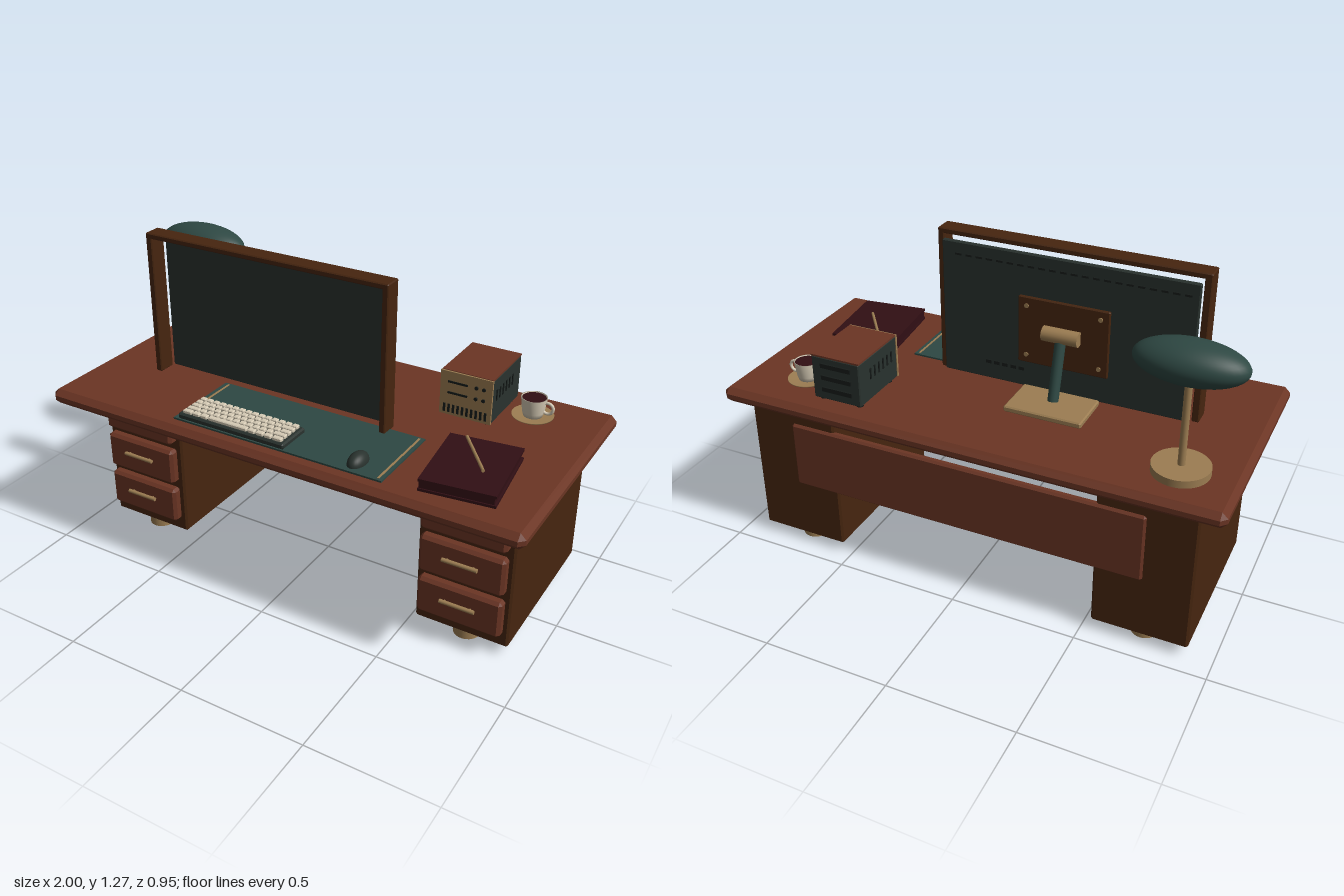
import * as THREE from 'three';
import { ConvexGeometry } from 'three/addons/geometries/ConvexGeometry.js';

const mat = (name, color, extra = {}) => {
  const m = new THREE.MeshStandardMaterial({ color, ...extra });
  m.name = name;
  return m;
};

export function createModel() {
  const wood = mat('red wood', 0x6b3524);
  const dark = mat('dark wood', 0x46250f);
  const brass = mat('brass', 0x9c7d52);
  const teal = mat('teal', 0x2e4843);
  const slate = mat('slate', 0x29322e);
  const black = mat('black detail', 0x171c1a);
  const burgundy = mat('burgundy', 0x310f14);
  const cream = mat('cream', 0xd6cbb5, { side: THREE.DoubleSide });

  const root = new THREE.Group();
  root.name = 'writingDesk';

  const add = (name, geo, material, x, y, z, parent = root) => {
    const m = new THREE.Mesh(geo, material);
    m.name = name;
    m.position.set(x, y, z);
    parent.add(m);
    return m;
  };
  const group = (name, x = 0, y = 0, z = 0) => {
    const g = new THREE.Group();
    g.name = name;
    g.position.set(x, y, z);
    root.add(g);
    return g;
  };
  // Box with every edge chamfered by b
  const chamfer = (w, h, d, b) => {
    const pts = [];
    for (const i of [-1, 1]) for (const j of [-1, 1]) for (const k of [-1, 1]) {
      for (let a = 0; a < 3; a++) {
        pts.push(new THREE.Vector3(
          i * (w / 2 - (a === 0 ? 0 : b)),
          j * (h / 2 - (a === 1 ? 0 : b)),
          k * (d / 2 - (a === 2 ? 0 : b))));
      }
    }
    return new ConvexGeometry(pts);
  };
  // Box given by its limits, chamfered when b > 0
  const block = (name, material, x0, x1, y0, y1, z0, z1, b = 0, parent = root) => {
    const s = [x1 - x0, y1 - y0, z1 - z0];
    const geo = b ? chamfer(...s, b) : new THREE.BoxGeometry(...s);
    return add(name, geo, material, (x0 + x1) / 2, (y0 + y1) / 2, (z0 + z1) / 2, parent);
  };
  const disc = (r, h, n = 32) => new THREE.CylinderGeometry(r, r, h, n);
  // Round bar between two points
  const bar = (name, material, a, b, r, parent = root) => {
    const p = new THREE.Vector3(...a), q = new THREE.Vector3(...b);
    const m = add(name, disc(r, p.distanceTo(q), 20), material, 0, 0, 0, parent);
    m.position.copy(p).add(q).multiplyScalar(0.5);
    m.quaternion.setFromUnitVectors(new THREE.Vector3(0, 1, 0), q.sub(p).normalize());
    return m;
  };

  // Desk: top, two drawer pedestals and back panel
  block('deskTop', wood, -1, 1, 0.62, 0.683, -0.48, 0.475, 0.022);
  for (const s of [-1, 1]) {
    const g = group(s > 0 ? 'leftPedestal' : 'rightPedestal', s * 0.72);
    block('pedestalBody', dark, -0.185, 0.185, 0.04, 0.625, -0.425, 0.26, 0.008, g);
    for (const y of [0.178, 0.36, 0.542]) {
      block('drawerFront', wood, -0.165, 0.165, y - 0.077, y + 0.077, 0.255, 0.303, 0.012, g);
      bar('drawerHandle', brass, [-0.068, y + 0.012, 0.313], [0.068, y + 0.012, 0.313], 0.008, g);
      for (const x of [-0.05, 0.05]) bar('handlePost', brass, [x, y + 0.012, 0.3], [x, y + 0.012, 0.313], 0.005, g);
    }
    for (const z of [0.196, -0.343]) add('foot', disc(0.052, 0.042), brass, 0, 0.021, z, g);
  }
  block('backPanel', wood, -0.72, 0.72, 0.29, 0.565, -0.436, -0.405, 0.008);

  // Open hood around the screen
  block('hoodSide', dark, -0.75, -0.722, 0.683, 1.272, 0.047, 0.122, 0.004);
  block('hoodSide', dark, 0.287, 0.312, 0.683, 1.272, 0.047, 0.122, 0.004);
  block('hoodTop', dark, -0.75, 0.312, 1.25, 1.272, 0.047, 0.122, 0.004);

  // Screen with vents, mounting plate and stand
  const screen = group('screen');
  block('screenPanel', slate, -0.718, 0.284, 0.688, 1.236, 0.027, 0.046, 0.004, screen);
  for (let i = 0; i < 22; i++) {
    const x = -0.69 + i * 0.0424;
    block('screenVent', black, x, x + 0.026, 1.185, 1.193, 0.021, 0.028, 0, screen);
  }
  for (let i = 0; i < 5; i++) {
    const x = -0.06 + i * 0.035;
    block('screenPort', black, x, x + 0.024, 0.755, 0.769, 0.022, 0.028, 0, screen);
  }
  block('mountPlate', dark, -0.4, -0.037, 0.8, 1.072, 0.013, 0.028, 0.004, screen);
  for (const x of [-0.365, -0.072]) for (const y of [0.835, 1.037])
    bar('mountBolt', brass, [x, y, 0.014], [x, y, 0.009], 0.009, screen);
  bar('tiltPivot', brass, [-0.29, 0.947, -0.002], [-0.147, 0.947, -0.002], 0.029, screen);
  bar('standArm', teal, [-0.218, 0.93, -0.005], [-0.218, 0.705, -0.065], 0.021, screen);
  block('standBase', brass, -0.375, -0.065, 0.683, 0.707, -0.18, 0.012, 0.005, screen);

  // Desk mat with brass edge strips
  block('deskMat', teal, -0.43, 0.458, 0.683, 0.69, 0.08, 0.417);
  for (const x of [-0.408, 0.44]) block('matStrip', brass, x - 0.004, x + 0.004, 0.689, 0.692, 0.09, 0.407);

  // Keyboard
  const keyboard = group('keyboard', -0.175, 0.69, 0.341);
  block('keyboardBase', slate, -0.235, 0.235, 0, 0.024, -0.075, 0.075, 0.006, keyboard);
  const rows = [Array(15).fill(1), [...Array(13).fill(1), 2], [1.5, ...Array(12).fill(1), 1.5],
    [2, ...Array(11).fill(1), 2], [1.5, 1.2, 1.2, 6, 1.2, 1.2, 1.2, 1.5]];
  rows.forEach((row, r) => {
    let x = -0.222;
    const z = -0.054 + r * 0.027;
    for (const w of row) {
      const wide = w * 0.444 / 15;
      block('key', cream, x + 0.003, x + wide - 0.003, 0.02, 0.036, z - 0.0105, z + 0.0105, 0.003, keyboard);
      x += wide;
    }
  });

  // Mouse
  const mouse = add('mouse', new THREE.SphereGeometry(1, 28, 14, 0, Math.PI * 2, 0, Math.PI / 2), slate, 0.327, 0.69, 0.345);
  mouse.scale.set(0.034, 0.038, 0.055);

  // Notebook with pen
  const book = group('notebook', 0.7, 0.683, 0.211);
  book.rotation.y = 0.117;
  block('backCover', burgundy, -0.137, 0.137, 0, 0.01, -0.172, 0.172, 0, book);
  block('pageBlock', burgundy, -0.134, 0.13, 0.01, 0.037, -0.167, 0.167, 0, book);
  block('frontCover', burgundy, -0.137, 0.137, 0.037, 0.047, -0.172, 0.172, 0, book);
  bar('pen', brass, [0.612, 0.737, 0.062], [0.757, 0.737, 0.25], 0.006);

  // Small cabinet with brass face, wooden lid and vents
  const cab = group('cabinet');
  block('cabinetBody', slate, 0.416, 0.621, 0.695, 0.872, -0.4, -0.13, 0.004, cab);
  block('cabinetLid', wood, 0.416, 0.621, 0.871, 0.878, -0.4, -0.13, 0, cab);
  block('cabinetFace', brass, 0.414, 0.623, 0.697, 0.876, -0.132, -0.123, 0, cab);
  for (const x of [0.44, 0.597]) for (const z of [-0.37, -0.16]) add('cabinetFoot', disc(0.014, 0.014, 16), black, x, 0.69, z, cab);
  for (const y of [0.835, 0.79]) {
    block('driveSlot', black, 0.445, 0.525, y - 0.004, y + 0.004, -0.124, -0.12, 0, cab);
    for (const x of [0.56, 0.59]) bar('cabinetButton', black, [x, y, -0.124], [x, y, -0.118], 0.007, cab);
  }
  for (let i = 0; i < 10; i++) {
    const x = 0.43 + i * 0.0185;
    block('faceVent', black, x, x + 0.009, 0.708, 0.742, -0.124, -0.12, 0, cab);
  }
  for (let i = 0; i < 6; i++) {
    const z = -0.325 + i * 0.03;
    for (const x of [0.415, 0.622]) block('sideVent', black, x - 0.002, x + 0.002, 0.78, 0.825, z, z + 0.008, 0, cab);
  }
  for (const y of [0.74, 0.79, 0.84]) block('rearPort', black, 0.45, 0.58, y - 0.009, y + 0.009, -0.407, -0.399, 0, cab);

  // Cup and saucer
  const cup = group('cup', 0.727, 0.683, -0.286);
  const lathe = (pts) => new THREE.LatheGeometry(pts.map((p) => new THREE.Vector2(...p)), 36);
  add('saucer', lathe([[0, 0], [0.05, 0], [0.08, 0.012], [0.08, 0.016], [0.05, 0.01], [0, 0.01]]), brass, 0, 0, 0, cup);
  add('cupWall', lathe([[0, 0.011], [0.036, 0.011], [0.042, 0.03], [0.05, 0.088], [0.046, 0.088], [0.043, 0.07]]), cream, 0, 0, 0, cup);
  add('coffee', disc(0.0455, 0.004), burgundy, 0, 0.083, 0, cup);
  add('cupHandle', new THREE.TorusGeometry(0.022, 0.006, 10, 24), cream, 0.055, 0.053, 0, cup);

  // Lamp with a wide oval shade
  const lamp = group('lamp', -0.785, 0, -0.285);
  add('lampBase', disc(0.105, 0.03, 40), brass, 0, 0.697, 0, lamp);
  add('lampPole', disc(0.0135, 0.38, 20), brass, 0, 0.89, 0, lamp);
  add('lampShade', new THREE.SphereGeometry(1, 40, 24), teal, 0, 1.106, -0.002, lamp).scale.set(0.198, 0.077, 0.099);

  return root;
}
